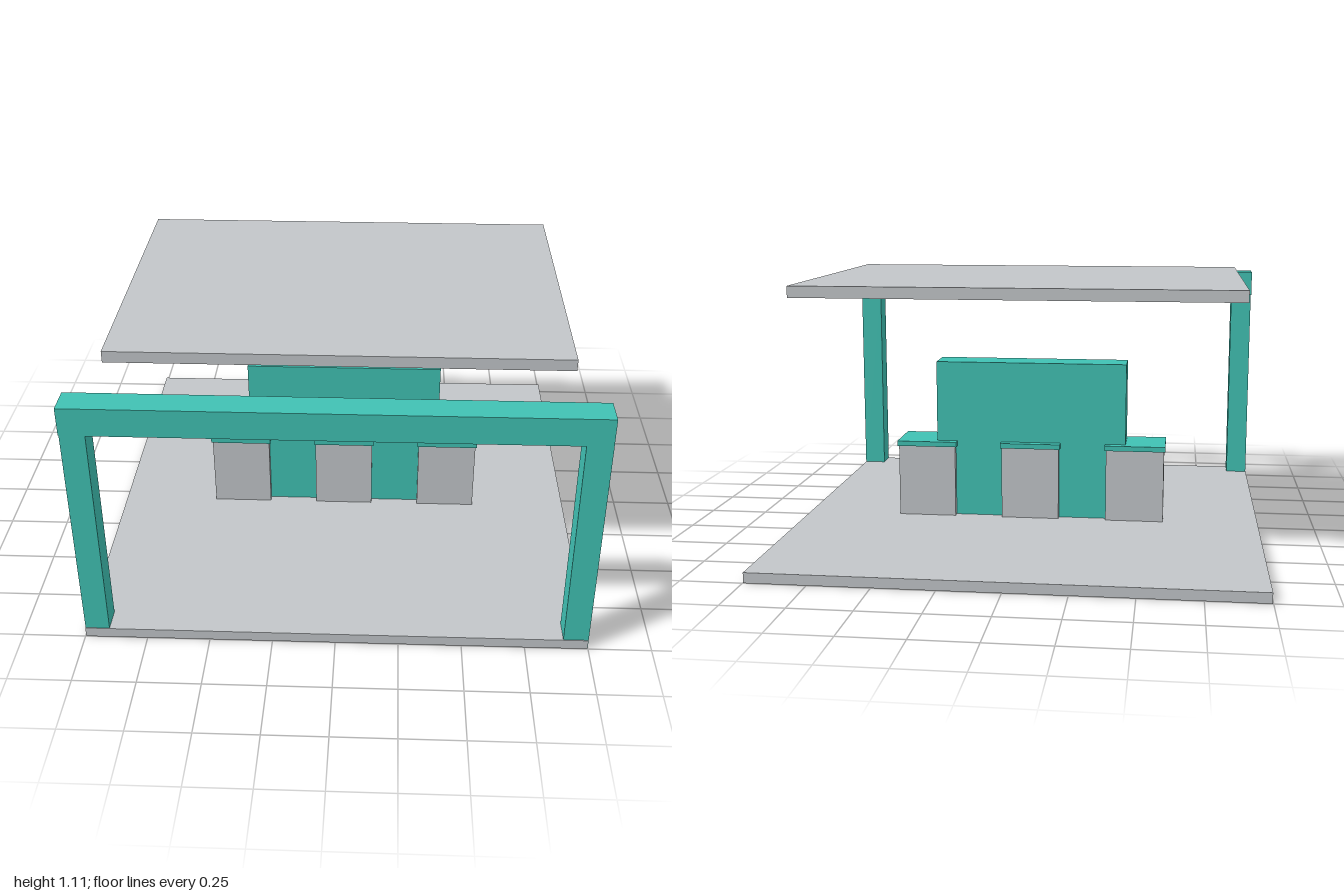
import * as THREE from 'three';

export function createModel() {
  const model = new THREE.Group();
  const grey = new THREE.MeshStandardMaterial({ color: 0xc2c6c9 });
  grey.name = 'light grey';
  const teal = new THREE.MeshStandardMaterial({ color: 0x40c1b3 });
  teal.name = 'teal';

  // Box given by its lower and upper limits on each axis
  function block(name, material, [x0, x1], [y0, y1], [z0, z1]) {
    const mesh = new THREE.Mesh(new THREE.BoxGeometry(x1 - x0, y1 - y0, z1 - z0), material);
    mesh.position.set((x0 + x1) / 2, (y0 + y1) / 2, (z0 + z1) / 2);
    mesh.name = name;
    model.add(mesh);
  }

  // Ground slab and floating canopy
  block('baseSlab', grey, [-0.997, 0.997], [0, 0.042], [-1, 1]);
  block('canopyRoof', grey, [-0.9, 0.9], [1.06, 1.107], [-0.647, 0.647]);

  // Front gateway: two posts under a crossbeam
  block('leftPost', teal, [0.9, 0.999], [0, 0.952], [0.898, 0.997]);
  block('rightPost', teal, [-0.996, -0.9], [-0.0005, 0.952], [0.898, 0.997]);
  block('crossbeam', teal, [-0.998, 0.998], [0.952, 1.066], [0.885, 1]);

  // Central wall
  block('centreWall', teal, [-0.418, 0.418], [0.01, 0.731], [-0.074, 0.074]);

  // Three capped counters along the wall
  for (const x of [-0.46, 0, 0.46]) {
    block('counter', grey, [x - 0.126, x + 0.126], [0.04, 0.355], [-0.103, 0.103]);
    block('counterCap', teal, [x - 0.132, x + 0.132], [0.355, 0.377], [-0.11, 0.11]);
  }

  return model;
}
